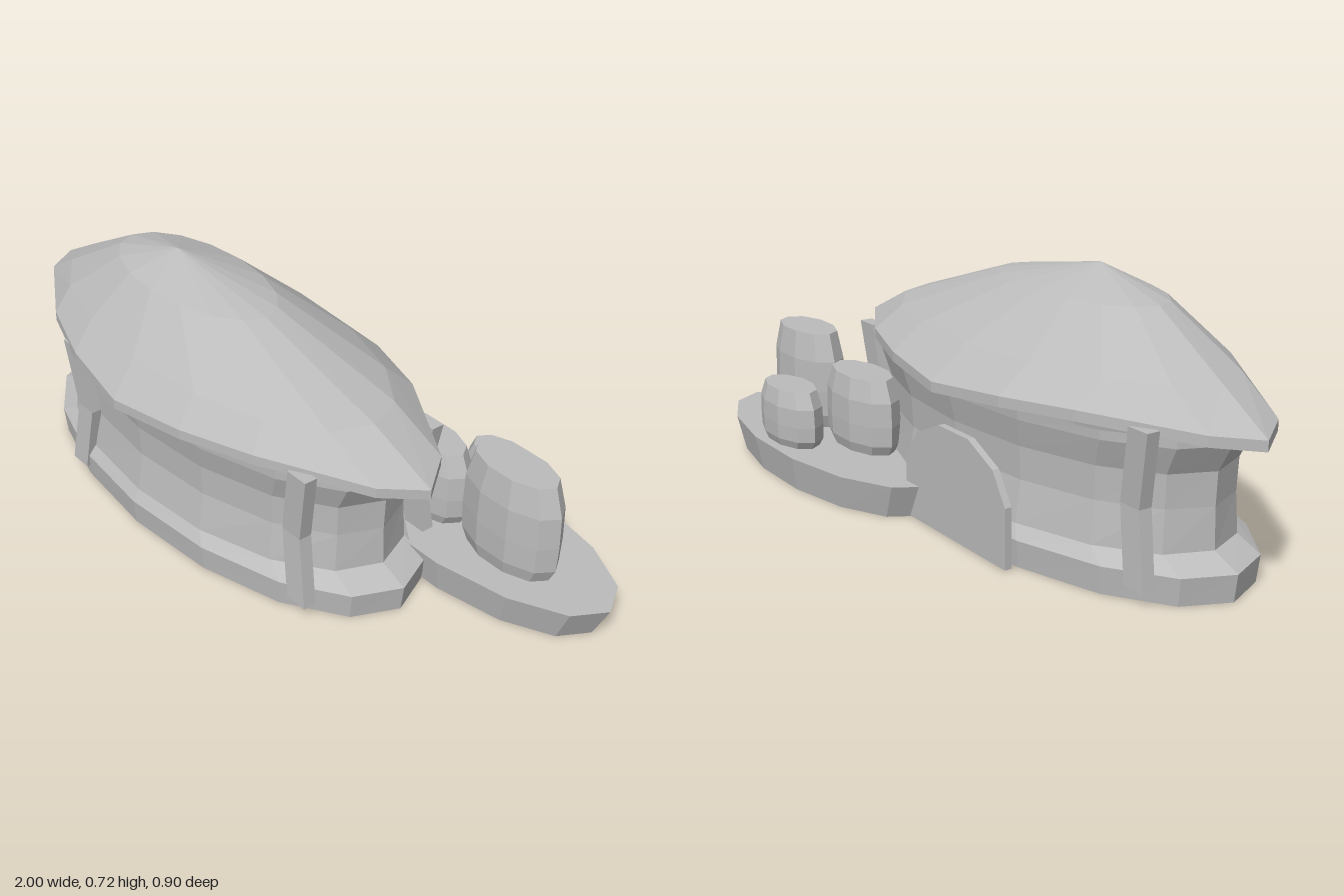
import * as THREE from 'three';

const clay = new THREE.MeshStandardMaterial({ color: 0xbcbcbc, flatShading: true, side: THREE.DoubleSide });
clay.name = 'plain grey';

// One elliptical cross-section as a loop of points
function ring(n, cx, y, cz, rx, rz) {
  return Array.from({ length: n }, (_, i) => {
    const a = (i / n) * Math.PI * 2;
    return [cx + rx * Math.cos(a), y, cz + rz * Math.sin(a)];
  });
}

// Skin a list of rings, ordered bottom to top on the outside
function loft(name, rings) {
  const n = rings[0].length;
  const index = [];
  for (let r = 0; r < rings.length - 1; r++) {
    for (let i = 0; i < n; i++) {
      const j = (i + 1) % n;
      const a = r * n + i, b = r * n + j, c = a + n, d = b + n;
      index.push(a, c, b, b, c, d);
    }
  }
  const geo = new THREE.BufferGeometry();
  geo.setAttribute('position', new THREE.Float32BufferAttribute(rings.flat(2), 3));
  geo.setIndex(index);
  const flat = geo.toNonIndexed();
  flat.computeVertexNormals();
  const mesh = new THREE.Mesh(flat, clay);
  mesh.name = name;
  return mesh;
}

// Pointed-oval eave line with a gentle wave
function eave(y) {
  const quarter = [[0.83, 0], [0.75, 0.11], [0.47, 0.27], [0.25, 0.342], [0, 0.378]];
  const lift = [0, 0.01, 0.026, 0.018, 0];
  return Array.from({ length: 16 }, (_, i) => {
    const k = i % 8 <= 4 ? i % 8 : 8 - (i % 8);
    const sx = i < 4 || i > 12 ? 1 : -1;
    const sz = i <= 8 ? 1 : -1;
    return [-0.17 + sx * quarter[k][0], y + lift[k], 0.07 + sz * quarter[k][1]];
  });
}

// Post with a bend towards the hut at mid height
function post(x, z) {
  const geo = new THREE.BoxGeometry(0.07, 0.4, 0.038, 1, 2, 1);
  const p = geo.attributes.position;
  for (let i = 0; i < p.count; i++) {
    if (Math.abs(p.getY(i)) < 0.01) {
      p.setX(i, p.getX(i) - Math.sign(x + 0.17) * 0.035);
      p.setZ(i, p.getZ(i) - Math.sign(z - 0.07) * 0.012);
    }
  }
  geo.computeVertexNormals();
  const mesh = new THREE.Mesh(geo, clay);
  mesh.position.set(x, 0.237, z);
  mesh.name = 'post';
  return mesh;
}

// Squashed ten-sided barrel standing on the platform
function barrel(x, z, rx, rz, h) {
  const profile = [[0, 0], [0.86, 0], [0.98, 0.14], [1, 0.4], [0.98, 0.72], [0.82, 1], [0, 1]];
  return loft('barrel', profile.map(([r, t]) => ring(10, x, 0.1 + t * h, z, r * rx, r * rz)));
}

export function createModel() {
  const group = new THREE.Group();
  group.name = 'hut';

  // Plinth and wall, open underneath
  const wall = [
    [0, 0.745, 0.33], [0.075, 0.755, 0.338], [0.108, 0.672, 0.318],
    [0.22, 0.668, 0.3], [0.31, 0.672, 0.305], [0.385, 0.715, 0.322], [0.41, 0.715, 0.325],
  ];
  group.add(loft('wall', wall.map(([y, rx, rz]) => ring(16, -0.17, y, 0.07, rx, rz))));

  // Roof with an off-centre peak, rim and underside
  group.add(loft('roof', [
    ring(16, -0.17, 0.415, 0.07, 0.7, 0.31),
    eave(0.402),
    eave(0.43),
    ring(16, -0.185, 0.523, 0.08, 0.645, 0.29),
    ring(16, -0.265, 0.655, 0.1, 0.315, 0.15),
    ring(16, -0.32, 0.72, 0.12, 0, 0),
  ]));

  // Bent posts
  for (const [x, z] of [[-0.48, 0.372], [0.42, 0.28], [0.44, -0.13], [-0.79, -0.12]]) {
    group.add(post(x, z));
  }

  // Arched door panel at the back
  const arch = new THREE.Shape();
  arch.moveTo(-0.235, 0);
  arch.lineTo(0.235, 0);
  for (const [x, y] of [[0.235, 0.165], [0.18, 0.25], [0.07, 0.3], [-0.07, 0.3], [-0.18, 0.25], [-0.235, 0.165]]) {
    arch.lineTo(x, y);
  }
  const door = new THREE.Mesh(new THREE.ExtrudeGeometry(arch, { depth: 0.02, bevelEnabled: false }), clay);
  door.position.set(-0.225, 0.003, -0.278);
  door.name = 'door';
  group.add(door);

  // Platform with tapered sides
  group.add(loft('platform', [
    ring(14, 0.465, 0, -0.25, 0, 0),
    ring(14, 0.465, 0, -0.25, 0.487, 0.193),
    ring(14, 0.465, 0.1, -0.25, 0.535, 0.211),
    ring(14, 0.465, 0.1, -0.25, 0, 0),
  ]));

  // Barrels
  group.add(barrel(0.675, -0.22, 0.165, 0.082, 0.29));
  group.add(barrel(0.513, -0.368, 0.145, 0.072, 0.167));
  group.add(barrel(0.355, -0.215, 0.165, 0.08, 0.22));

  return group;
}
